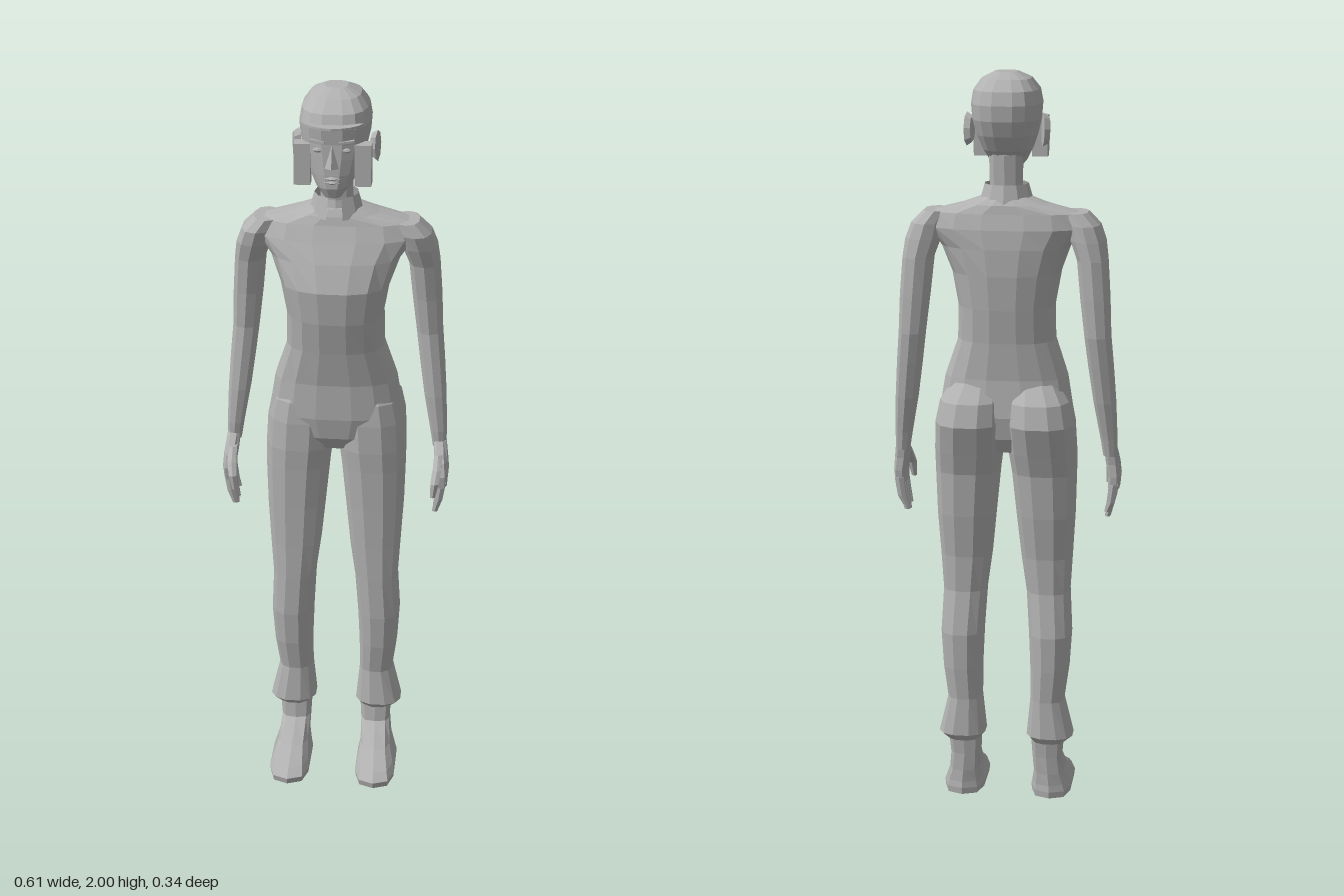
import * as THREE from 'three';

const grey = new THREE.MeshStandardMaterial({ color: 0xb2b2b2, side: THREE.DoubleSide, flatShading: true });
grey.name = 'plain grey';

// Closed loft through horizontal rings, listed bottom to top as [y, xMin, xMax, zBack, zFront]
function loft(rings, sides = 10, squareness = 0.8, mirror = 1) {
  const pos = [], index = [];
  const soft = (v) => Math.sign(v) * Math.pow(Math.abs(v), squareness);
  for (const [y, x0, x1, z0, z1] of rings) {
    for (let j = 0; j < sides; j++) {
      const a = ((j + 0.5) / sides) * Math.PI * 2;
      const k = 1 / Math.pow(Math.cos(Math.PI / sides), squareness);
      pos.push(mirror * (x0 + x1) / 2 + k * soft(Math.cos(a)) * (x1 - x0) / 2, y,
        (z0 + z1) / 2 + soft(Math.sin(a)) * (z1 - z0) / 2);
    }
  }
  const last = rings.length - 1;
  for (const i of [0, last]) {
    const [y, x0, x1, z0, z1] = rings[i];
    pos.push(mirror * (x0 + x1) / 2, y, (z0 + z1) / 2);
  }
  const bottom = rings.length * sides, top = bottom + 1;
  for (let j = 0; j < sides; j++) {
    const n = (j + 1) % sides;
    for (let i = 0; i < last; i++) {
      const a = i * sides + j, b = i * sides + n, c = a + sides, d = b + sides;
      index.push(a, c, d, a, d, b);
    }
    index.push(bottom, j, n, top, last * sides + n, last * sides + j);
  }
  const g = new THREE.BufferGeometry();
  g.setAttribute('position', new THREE.Float32BufferAttribute(pos, 3));
  g.setIndex(index);
  g.computeVertexNormals();
  return g;
}

// Symmetric ring about x = 0
const mid = ([y, r, z0, z1]) => [y, -r, r, z0, z1];

export function createModel() {
  const model = new THREE.Group();
  model.name = 'standing figure';

  const add = (name, geometry, p = [0, 0, 0], r = [0, 0, 0], s = [1, 1, 1]) => {
    const m = new THREE.Mesh(geometry, grey);
    m.name = name;
    m.position.set(...p);
    m.rotation.set(...r);
    m.scale.set(...s);
    model.add(m);
    return m;
  };

  // Torso, from the hips to the sloping shoulders
  add('torso', loft([
    [1.0, 0.06, -0.1, 0.02], [1.04, 0.14, -0.12, 0.045], [1.1, 0.178, -0.13, 0.055], [1.2, 0.162, -0.12, 0.055],
    [1.3, 0.128, -0.125, 0.073], [1.39, 0.126, -0.135, 0.092], [1.48, 0.142, -0.14, 0.1],
    [1.55, 0.168, -0.138, 0.072], [1.6, 0.205, -0.132, 0.045], [1.64, 0.195, -0.12, 0.026],
    [1.662, 0.11, -0.115, 0.02], [1.68, 0.06, -0.1, 0.01],
  ].map(mid), 16));

  // Neck with an open collar
  add('neck', loft([[1.64, 0.05, -0.1, 0.01], [1.7, 0.041, -0.085, -0.003], [1.79, 0.043, -0.09, 0.0]].map(mid)));
  add('collar', new THREE.CylinderGeometry(0.058, 0.074, 0.055, 10, 1, true, 0.3, Math.PI * 2 - 0.6),
    [0, 1.685, -0.04]);

  // Head
  add('head', loft([
    [1.738, 0.024, -0.01, 0.085], [1.765, 0.046, -0.06, 0.096], [1.8, 0.064, -0.1, 0.096],
    [1.84, 0.078, -0.125, 0.094], [1.88, 0.087, -0.14, 0.092], [1.92, 0.09, -0.143, 0.096],
    [1.955, 0.084, -0.133, 0.082], [1.983, 0.064, -0.105, 0.045], [2.0, 0.03, -0.065, 0.0],
  ].map(mid), 16, 0.75));

  // Face
  add('nose', new THREE.ConeGeometry(0.018, 0.06, 4), [0, 1.85, 0.093], [-0.1, 0, 0]);
  add('upperLip', new THREE.OctahedronGeometry(0.024), [0, 1.793, 0.094], [0, 0, 0], [1, 0.25, 0.4]);
  add('lowerLip', new THREE.OctahedronGeometry(0.02), [0, 1.782, 0.094], [0, 0, 0], [1, 0.3, 0.4]);

  // Thin brow band standing off the forehead
  const brim = new THREE.Shape();
  brim.moveTo(-0.078, 0.07);
  brim.quadraticCurveTo(-0.06, 0.112, 0, 0.122);
  brim.quadraticCurveTo(0.06, 0.112, 0.078, 0.07);
  brim.lineTo(0, 0.085);
  add('brim', new THREE.ExtrudeGeometry(brim, { depth: 0.006, bevelEnabled: false, curveSegments: 4 }),
    [0, 1.932, 0], [Math.PI / 2, 0, 0]);

  for (const s of [1, -1]) {
    const side = s > 0 ? 'left' : 'right';
    const name = (part) => side + part;

    // Eyes, ears and cheek blocks
    add(name('Eye'), new THREE.SphereGeometry(0.013, 8, 4), [s * 0.036, 1.865, 0.086], [0, 0, 0], [1, 0.5, 0.6]);
    add(name('Eyebrow'), new THREE.BoxGeometry(0.038, 0.006, 0.01), [s * 0.037, 1.888, 0.088], [0, s * 0.2, s * 0.1]);
    add(name('Ear'), new THREE.CylinderGeometry(0.02, 0.026, 0.016, 8), [s * 0.1, 1.848, -0.014],
      [0.15, s * -0.3, Math.PI / 2], [1.7, 1, 0.85]);
    add(name('CheekBlock'), new THREE.BoxGeometry(0.042, 0.108, 0.038), [s * 0.077, 1.824, 0.063]);

    // Leg with the rounded seat at its top and a flared cuff at its foot
    add(name('Leg'), loft([
      [0.165, 0.075, 0.162, -0.085, 0.002], [0.185, 0.058, 0.185, -0.1, 0.02], [0.29, 0.068, 0.16, -0.096, 0.012],
      [0.38, 0.068, 0.172, -0.103, 0.028], [0.48, 0.064, 0.178, -0.106, 0.038], [0.6, 0.056, 0.172, -0.088, 0.04],
      [0.7, 0.042, 0.178, -0.092, 0.04], [0.82, 0.03, 0.185, -0.11, 0.042], [0.94, 0.018, 0.188, -0.122, 0.046],
      [1.0, 0.01, 0.188, -0.142, 0.05], [1.08, 0.006, 0.184, -0.17, 0.05], [1.14, 0.008, 0.172, -0.155, 0.045],
      [1.19, 0.02, 0.14, -0.11, 0.02],
    ], 12, 0.8, s));

    // Foot
    add(name('Foot'), loft([
      [0, 0.068, 0.176, -0.075, 0.166], [0.018, 0.066, 0.178, -0.077, 0.17], [0.036, 0.07, 0.172, -0.075, 0.145],
      [0.07, 0.076, 0.16, -0.075, 0.08], [0.12, 0.074, 0.154, -0.075, 0.006], [0.19, 0.07, 0.16, -0.082, 0.0],
    ], 10, 0.65, s));

    // Arm
    add(name('Arm'), loft([
      [0.99, 0.262, 0.298, -0.072, -0.028], [1.04, 0.254, 0.298, -0.08, -0.024], [1.14, 0.236, 0.294, -0.1, -0.024],
      [1.24, 0.222, 0.287, -0.115, -0.03], [1.32, 0.212, 0.28, -0.126, -0.034], [1.42, 0.2, 0.276, -0.126, -0.024],
      [1.52, 0.19, 0.269, -0.124, -0.008], [1.57, 0.172, 0.262, -0.12, 0.01], [1.61, 0.165, 0.247, -0.115, 0.02],
      [1.642, 0.15, 0.215, -0.1, 0.01],
    ], 10, 0.85, s));

    // Hand: palm, four fingers and a thumb
    add(name('Palm'), loft([
      [0.895, 0.274, 0.304, -0.066, 0.03], [0.93, 0.274, 0.307, -0.068, 0.034], [0.965, 0.268, 0.304, -0.064, 0.02],
      [1.01, 0.264, 0.298, -0.066, -0.026],
    ], 8, 0.75, s));
    for (let i = 0; i < 4; i++) {
      const z = 0.016 - i * 0.024, tip = [0.822, 0.81, 0.815, 0.835][i];
      add(name('Finger' + (i + 1)), loft([
        [tip, 0.266, 0.28, z - 0.008, z + 0.008], [0.86, 0.272, 0.294, z - 0.011, z + 0.011],
        [0.91, 0.278, 0.302, z - 0.012, z + 0.012],
      ], 6, 0.8, s));
    }
    add(name('Thumb'), loft([
      [0.885, 0.262, 0.275, 0.05, 0.066], [0.925, 0.262, 0.284, 0.04, 0.068],
      [0.955, 0.266, 0.29, 0.01, 0.045], [0.985, 0.268, 0.29, -0.03, 0.01],
    ], 6, 0.8, s));
  }
  return model;
}
